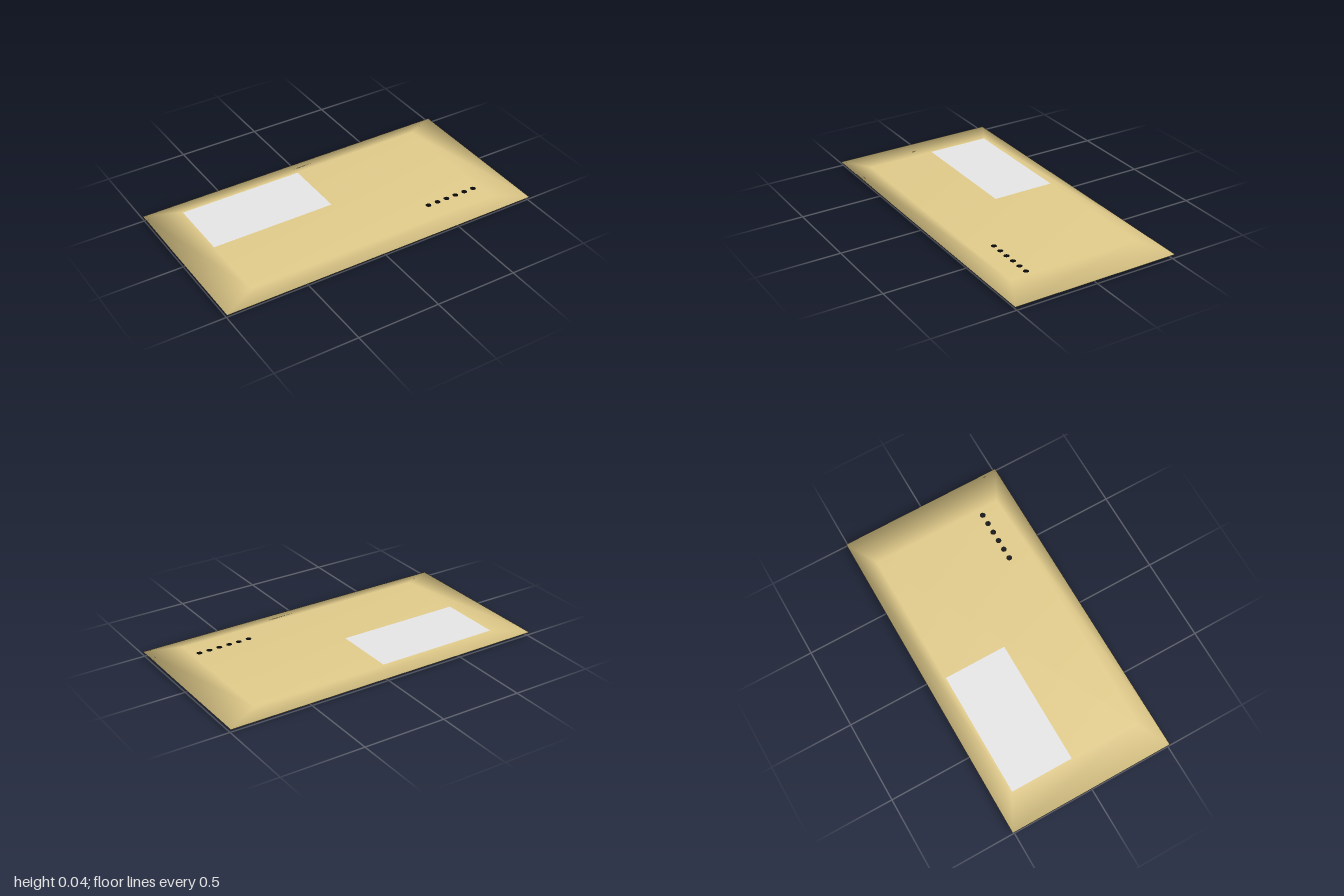
import * as THREE from 'three';

const W = 1, D = 0.51, TOP = 0.043;

// Padded envelope: four rectangular rings, lofted and softly shaded at the rim
function envelopeGeometry() {
  const corners = [[-1, 1], [1, 1], [1, -1], [-1, -1]];
  // [scale, height, outward normal, vertical normal]
  const rings = [
    [0.8, 0, 0.06, -1],
    [1, 0.02, 1, -0.25],
    [1, 0.026, 1, 0.25],
    [0.8, TOP, 0.06, 1],
  ];
  const positions = [], normals = [], index = [];
  for (const [scale, y, out, up] of rings) {
    for (const [sx, sz] of corners) {
      positions.push(sx * W * scale, y, sz * D * scale);
      const n = new THREE.Vector3(sx * out * Math.SQRT1_2, up, sz * out * Math.SQRT1_2).normalize();
      normals.push(n.x, n.y, n.z);
    }
  }
  for (let r = 0; r < 3; r++) {
    for (let i = 0; i < 4; i++) {
      const a = r * 4 + i, b = r * 4 + (i + 1) % 4;
      index.push(a, b, b + 4, a, b + 4, a + 4);
    }
  }
  index.push(12, 13, 14, 12, 14, 15); // top
  index.push(0, 2, 1, 0, 3, 2);       // bottom
  const geometry = new THREE.BufferGeometry();
  geometry.setAttribute('position', new THREE.Float32BufferAttribute(positions, 3));
  geometry.setAttribute('normal', new THREE.Float32BufferAttribute(normals, 3));
  geometry.setIndex(index);
  return geometry;
}

export function createModel() {
  const manila = new THREE.MeshStandardMaterial({ color: 0xe2cc8b });
  manila.name = 'manila paper';
  const white = new THREE.MeshStandardMaterial({ color: 0xe6e6e6 });
  white.name = 'label white';
  const black = new THREE.MeshStandardMaterial({ color: 0x080808 });
  black.name = 'ink black';

  const group = new THREE.Group();
  group.name = 'envelope';

  const add = (name, geometry, material, x = 0, y = 0, z = 0) => {
    const mesh = new THREE.Mesh(geometry, material);
    mesh.name = name;
    mesh.position.set(x, y, z);
    group.add(mesh);
  };

  add('envelopeBody', envelopeGeometry(), manila);

  // Address label on the upper face
  const label = new THREE.PlaneGeometry(0.765, 0.385).rotateX(-Math.PI / 2);
  add('addressLabel', label, white, -0.4175, TOP + 0.0008, -0.2075);

  // Row of printed dots
  const dot = new THREE.CircleGeometry(0.017, 12).rotateX(-Math.PI / 2);
  for (let i = 0; i < 6; i++) {
    add('printedDot' + (i + 1), dot, black, 0.437 + i * 0.064, TOP + 0.0005, 0.288);
  }
  return group;
}
